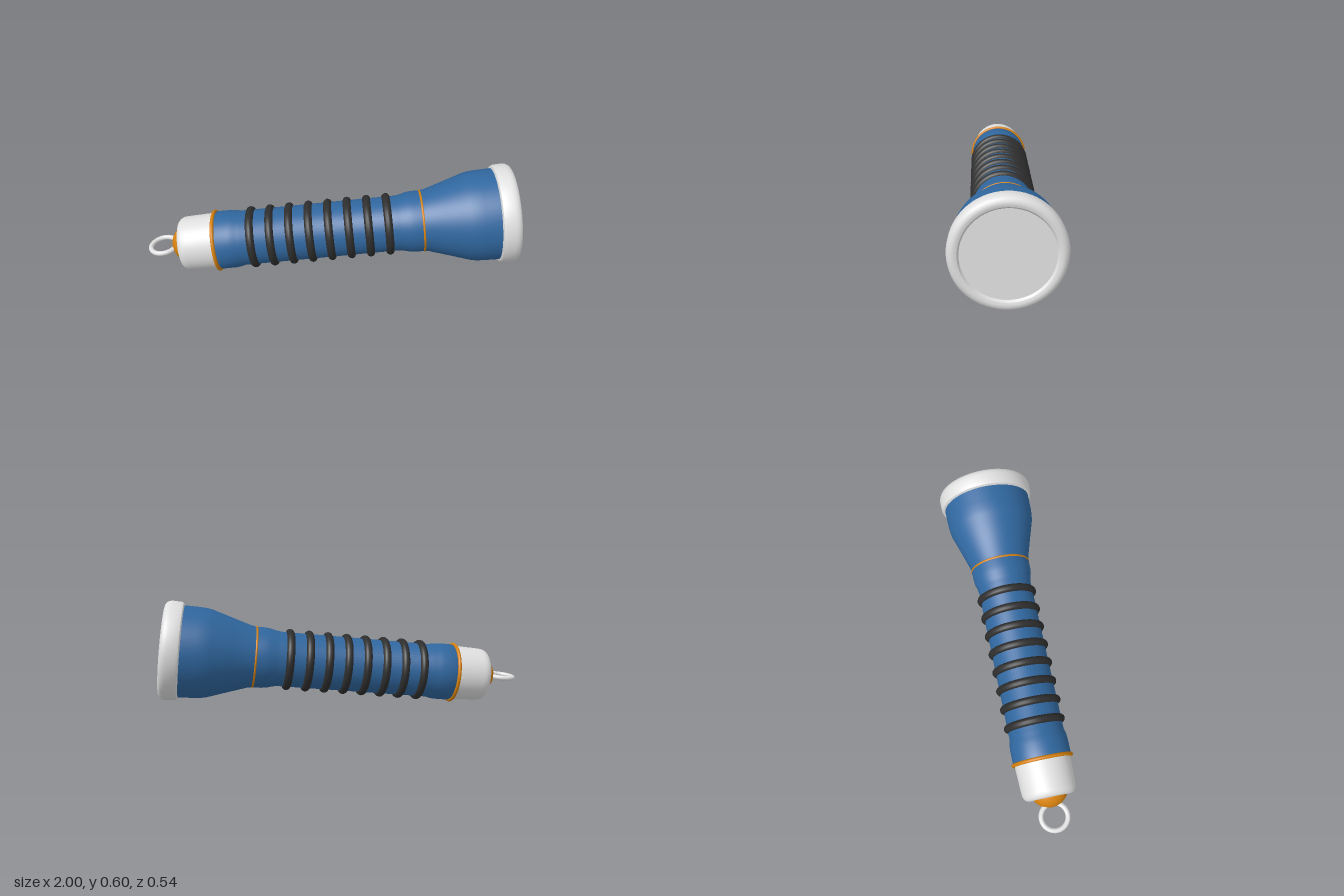
import * as THREE from 'three';
import { toCreasedNormals } from 'three/addons/utils/BufferGeometryUtils.js';

const mat = (name, color) => new THREE.MeshStandardMaterial({ name, color });

export function createModel() {
  const blue = mat('blue', 0x30679f);
  const white = mat('white', 0xe0e0e0);
  const gold = mat('gold', 0xd4800f);
  const rubber = mat('black rubber', 0x2e2e2e);

  const torch = new THREE.Group();
  torch.name = 'flashlight';

  const add = (name, geometry, material) => {
    const mesh = new THREE.Mesh(geometry, material);
    mesh.name = name;
    torch.add(mesh);
    return mesh;
  };
  // Profile of [position along the barrel, radius], turned about the x axis
  const turned = (name, profile, material) => {
    const points = profile.map(([s, r]) => new THREE.Vector2(r, s));
    const geo = new THREE.LatheGeometry(points, 64).rotateZ(-Math.PI / 2);
    return add(name, toCreasedNormals(geo, 0.6), material);
  };
  // Ring around the barrel
  const ring = (name, s, radius, tube, material) =>
    add(name, new THREE.TorusGeometry(radius, tube, 14, 64).rotateY(Math.PI / 2).translate(s, 0, 0), material);

  // Barrel with a slightly thicker collar at each end of the grip
  turned('barrel', [
    [-0.625, 0.150], [-0.61, 0.158], [-0.54, 0.158], [-0.51, 0.156], [-0.48, 0.149],
    [0.36, 0.149], [0.385, 0.153], [0.42, 0.162], [0.45, 0.165], [0.50, 0.165],
  ], blue);

  // Grip ribs
  for (let i = 0; i < 8; i++) ring('gripRib', -0.424 + i * 0.105, 0.146, 0.022, rubber);

  // Flared head
  turned('head', [
    [0.49, 0.164], [0.52, 0.169], [0.62, 0.2], [0.73, 0.235], [0.76, 0.241],
    [0.80, 0.244], [0.90, 0.246],
  ], blue);

  // Bezel and lens
  turned('bezel', [
    [0.882, 0.235], [0.882, 0.25], [0.888, 0.259], [0.90, 0.263], [0.945, 0.265],
    [0.962, 0.262], [0.975, 0.254], [0.982, 0.242], [0.983, 0.23], [0.979, 0.218], [0.968, 0.21],
  ], white);
  turned('lens', [[0.968, 0.212], [0.968, 0]], white);

  // Gold trim rings
  ring('neckTrim', 0.494, 0.161, 0.007, gold);
  ring('tailTrim', -0.622, 0.158, 0.010, gold);

  // Tail cap with rounded edge
  turned('tailCap', [
    [-0.822, 0], [-0.822, 0.112], [-0.818, 0.126], [-0.807, 0.138], [-0.79, 0.145],
    [-0.77, 0.147], [-0.62, 0.152],
  ], white);

  // Tail button and hanging loop
  add('tailButton', new THREE.SphereGeometry(0.105, 32, 20).translate(-0.769, 0, 0), gold);
  add('hangingLoop', new THREE.TorusGeometry(0.071, 0.0135, 12, 40)
    .rotateX(Math.PI / 2).translate(-0.923, 0, 0), white);

  // Lay the barrel at its slight tilt, resting on the tail trim
  torch.quaternion.setFromUnitVectors(
    new THREE.Vector3(1, 0, 0), new THREE.Vector3(1, 0.107, -0.07).normalize());
  torch.position.set(0, 0.234, 0.057);

  const model = new THREE.Group();
  model.add(torch);
  return model;
}
